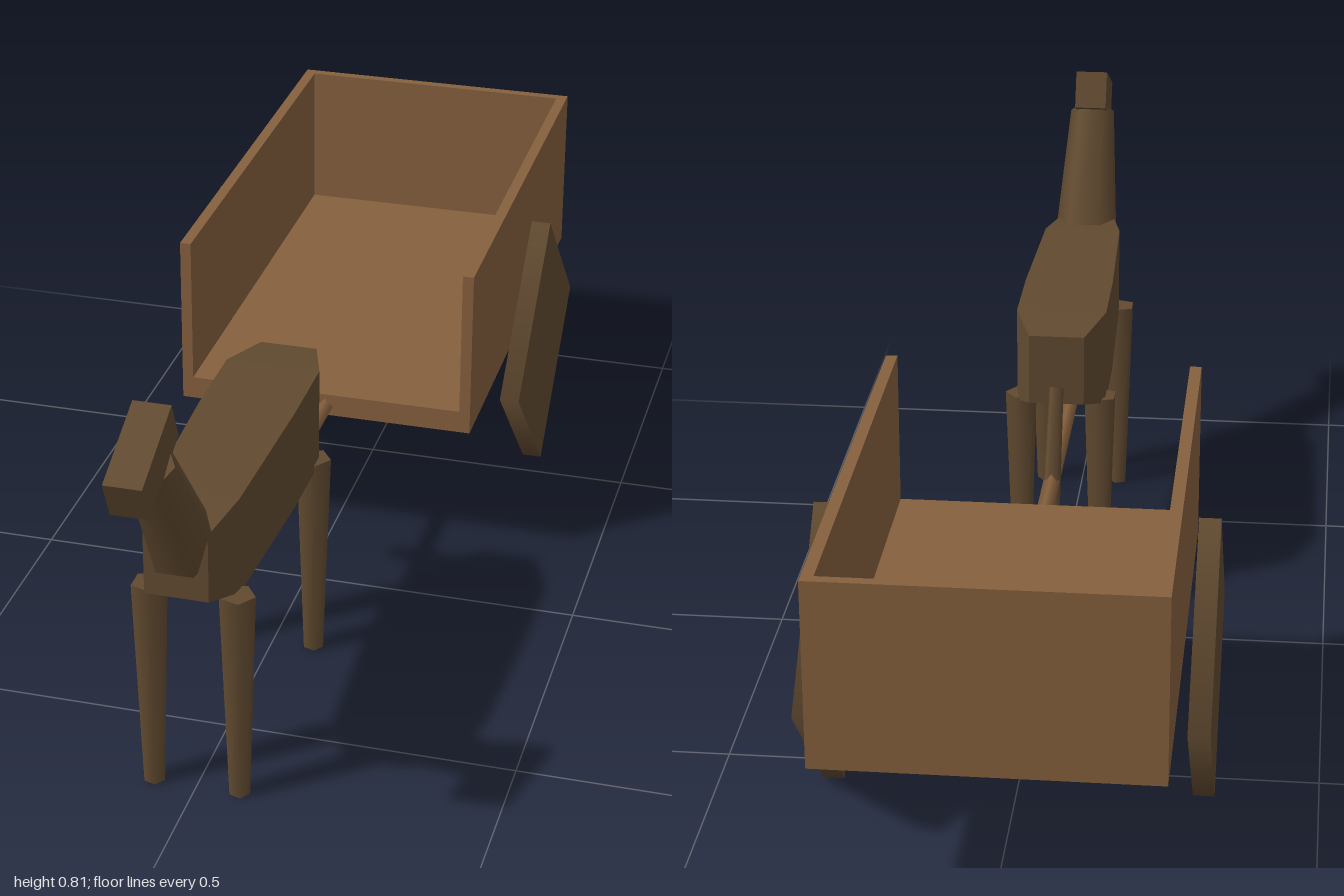
import * as THREE from 'three';

const cartWood = new THREE.MeshStandardMaterial({ name: 'cart wood', color: 0x85603d });
const darkBrown = new THREE.MeshStandardMaterial({ name: 'dark brown', color: 0x614a30 });

export function createModel() {
  const model = new THREE.Group();
  model.name = 'animalAndCart';

  const add = (parent, name, geometry, material, x = 0, y = 0, z = 0) => {
    const mesh = new THREE.Mesh(geometry, material);
    mesh.name = name;
    mesh.position.set(x, y, z);
    parent.add(mesh);
    return mesh;
  };
  const box = (parent, name, w, h, d, material, x, y, z) =>
    add(parent, name, new THREE.BoxGeometry(w, h, d), material, x, y, z);

  // Tapered rod in the x = 0 plane, from bottom (y, z) to top (y, z)
  const rod = (parent, name, from, to, rFrom, rTo, sides, start, material) => {
    const dy = to[0] - from[0], dz = to[1] - from[1];
    const geometry = new THREE.CylinderGeometry(rTo, rFrom, Math.hypot(dy, dz), sides, 1, false, start);
    const mesh = add(parent, name, geometry, material, 0, (from[0] + to[0]) / 2, (from[1] + to[1]) / 2);
    mesh.rotation.x = Math.atan2(dz, dy);
    return mesh;
  };

  // Cart: an open-fronted tray
  const cart = new THREE.Group();
  cart.name = 'cart';
  model.add(cart);
  box(cart, 'cartFloor', 0.546, 0.042, 0.873, cartWood, 0, 0.296, -0.5635);
  box(cart, 'cartBackWall', 0.546, 0.273, 0.018, cartWood, 0, 0.4535, -0.991);
  for (const side of [-1, 1]) {
    box(cart, 'cartSideWall', 0.02, 0.273, 0.855, cartWood, side * 0.263, 0.4535, -0.5545);
    // Four-sided wheel standing on a corner
    const wheel = add(cart, 'wheel', new THREE.CylinderGeometry(0.255, 0.255, 0.036, 4),
      darkBrown, side * 0.31, 0.255, -0.56);
    wheel.rotation.z = Math.PI / 2;
  }
  rod(cart, 'shaft', [0.293, -0.14], [0.293, 0.53], 0.015, 0.015, 4, 0, cartWood);

  // Animal
  const animal = new THREE.Group();
  animal.name = 'animal';
  model.add(animal);

  // Body lofted through sections: z, half width, bottom, top
  const sections = [
    [0.115, 0.05, 0.407, 0.538],
    [0.215, 0.082, 0.369, 0.549],
    [0.37, 0.082, 0.37, 0.549],
    [0.66, 0.073, 0.375, 0.547],
    [0.765, 0.053, 0.416, 0.537],
  ];
  const grid = new THREE.BoxGeometry(1, 1, 1, 1, 1, sections.length - 1);
  const p = grid.attributes.position;
  for (let i = 0; i < p.count; i++) {
    const [z, half, bottom, top] = sections[Math.round((p.getZ(i) + 0.5) * (sections.length - 1))];
    p.setXYZ(i, Math.sign(p.getX(i)) * half, p.getY(i) > 0 ? top : bottom, z);
  }
  const bodyGeometry = grid.toNonIndexed();
  bodyGeometry.computeVertexNormals();
  add(animal, 'body', bodyGeometry, darkBrown);

  // Neck, head and tail
  rod(animal, 'neck', [0.492, 0.728], [0.722, 0.885], 0.062, 0.043, 6, Math.PI / 2, darkBrown);
  const head = box(animal, 'head', 0.061, 0.072, 0.159, darkBrown, 0, 0.745, 0.915);
  head.rotation.x = 0.42;
  rod(animal, 'tail', [0.219, -0.012], [0.441, 0.108], 0.018, 0.014, 5, 0, darkBrown);

  // Legs
  for (const z of [0.22, 0.68]) {
    for (const side of [-1, 1]) {
      add(animal, z > 0.5 ? 'frontLeg' : 'hindLeg',
        new THREE.CylinderGeometry(0.031, 0.018, 0.383, 5, 1, false, Math.PI / 2),
        darkBrown, side * 0.0735, 0.1915, z);
    }
  }
  return model;
}
